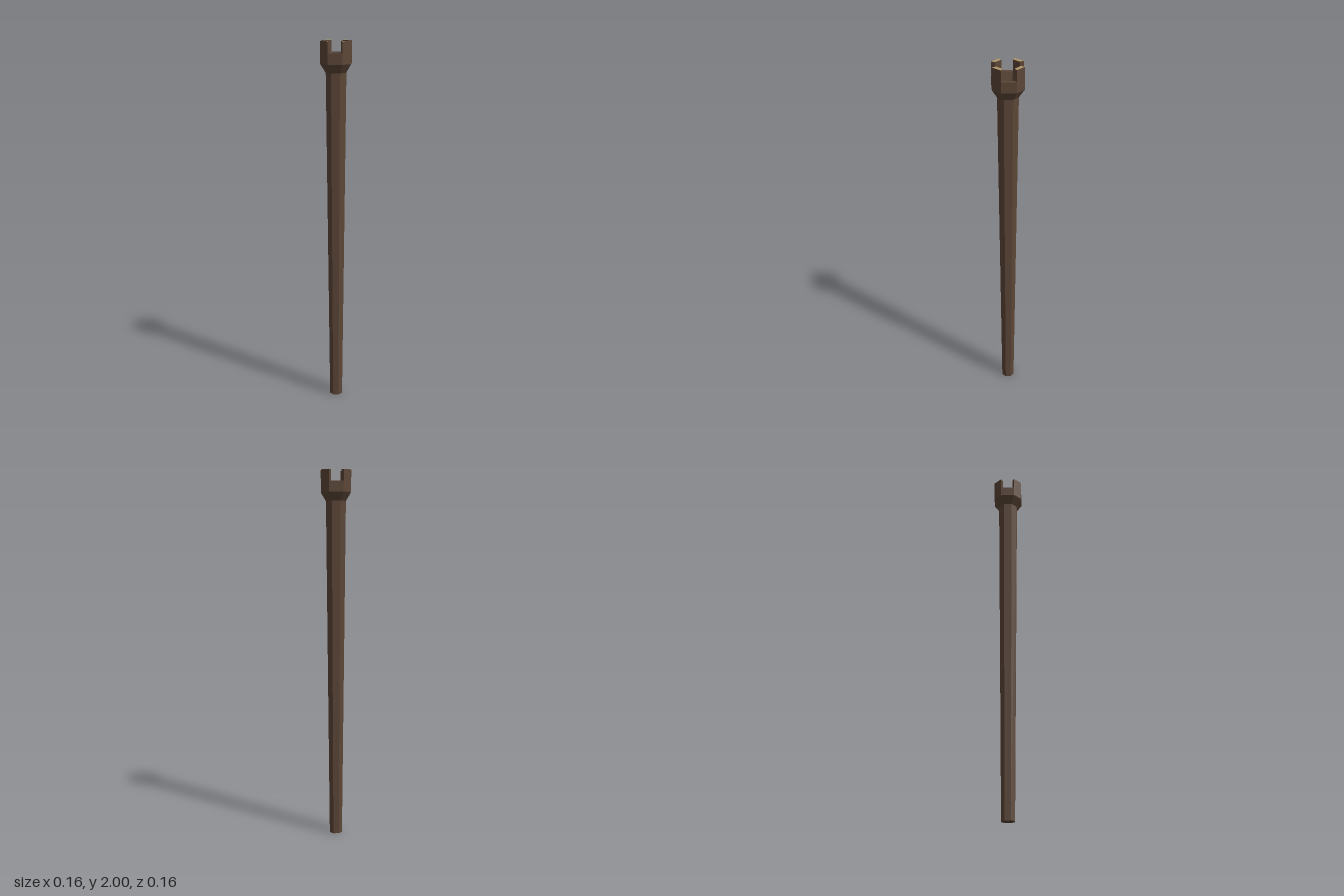
import * as THREE from 'three';

const wood = new THREE.MeshStandardMaterial({ color: 0x5c4637, flatShading: true });
wood.name = 'dark wood';
const tan = new THREE.MeshStandardMaterial({ color: 0xae9469, flatShading: true });
tan.name = 'pale tip';

// Octagon with flats on the axes: a = distance to a flat, h = half the flat's width
function octagon(a, h, y) {
  const pts = [];
  for (let k = 0; k < 4; k++) {
    const c = Math.round(Math.cos(k * Math.PI / 2)), s = Math.round(Math.sin(k * Math.PI / 2));
    for (const [u, v] of [[a, -h], [a, h]]) pts.push([u * c - v * s, y, -(u * s + v * c)]);
  }
  return pts;
}

// Fan that closes a ring, facing up
const cap = (ring) => ring.slice(2).flatMap((p, i) => [ring[0], ring[i + 1], p]);

// Faceted walls between successive rings
function walls(rings) {
  const tris = [];
  for (let r = 0; r + 1 < rings.length; r++) {
    const a = rings[r], b = rings[r + 1], n = a.length;
    for (let i = 0; i < n; i++) {
      const j = (i + 1) % n;
      tris.push(a[i], a[j], b[j], a[i], b[j], b[i]);
    }
  }
  return tris;
}

function mesh(name, tris, material) {
  const g = new THREE.BufferGeometry();
  g.setAttribute('position', new THREE.Float32BufferAttribute(tris.flat(), 3));
  g.computeVertexNormals();
  const m = new THREE.Mesh(g, material);
  m.name = name;
  return m;
}

export function createModel() {
  const group = new THREE.Group();
  group.name = 'staff';

  // Tapered octagonal pole, closed at the foot
  const foot = octagon(0.034, 0.015, 0);
  const neck = octagon(0.052, 0.023, 1.84);
  group.add(mesh('pole', [...walls([foot, neck]), ...cap([...foot].reverse())], wood));

  // Flared head with a hollow cup on top
  const cup = [
    neck,
    octagon(0.079, 0.038, 1.885),
    octagon(0.079, 0.038, 1.94),
    octagon(0.059, 0.028, 1.94),
    octagon(0.05, 0.024, 1.885),
  ];
  group.add(mesh('head', [...walls(cup), ...cap(cup[4])], wood));

  // Four prongs on the diagonal sides, with pale tips
  const section = (y) => [[0.079, y, -0.038], [0.038, y, -0.079], [0.028, y, -0.059], [0.059, y, -0.028]];
  for (let k = 0; k < 4; k++) {
    const prong = new THREE.Group();
    prong.name = 'prong' + (k + 1);
    prong.add(mesh('prongSides', walls([section(1.94), section(2)]), wood));
    prong.add(mesh('prongTip', cap(section(2)), tan));
    prong.rotation.y = k * Math.PI / 2;
    group.add(prong);
  }
  return group;
}
